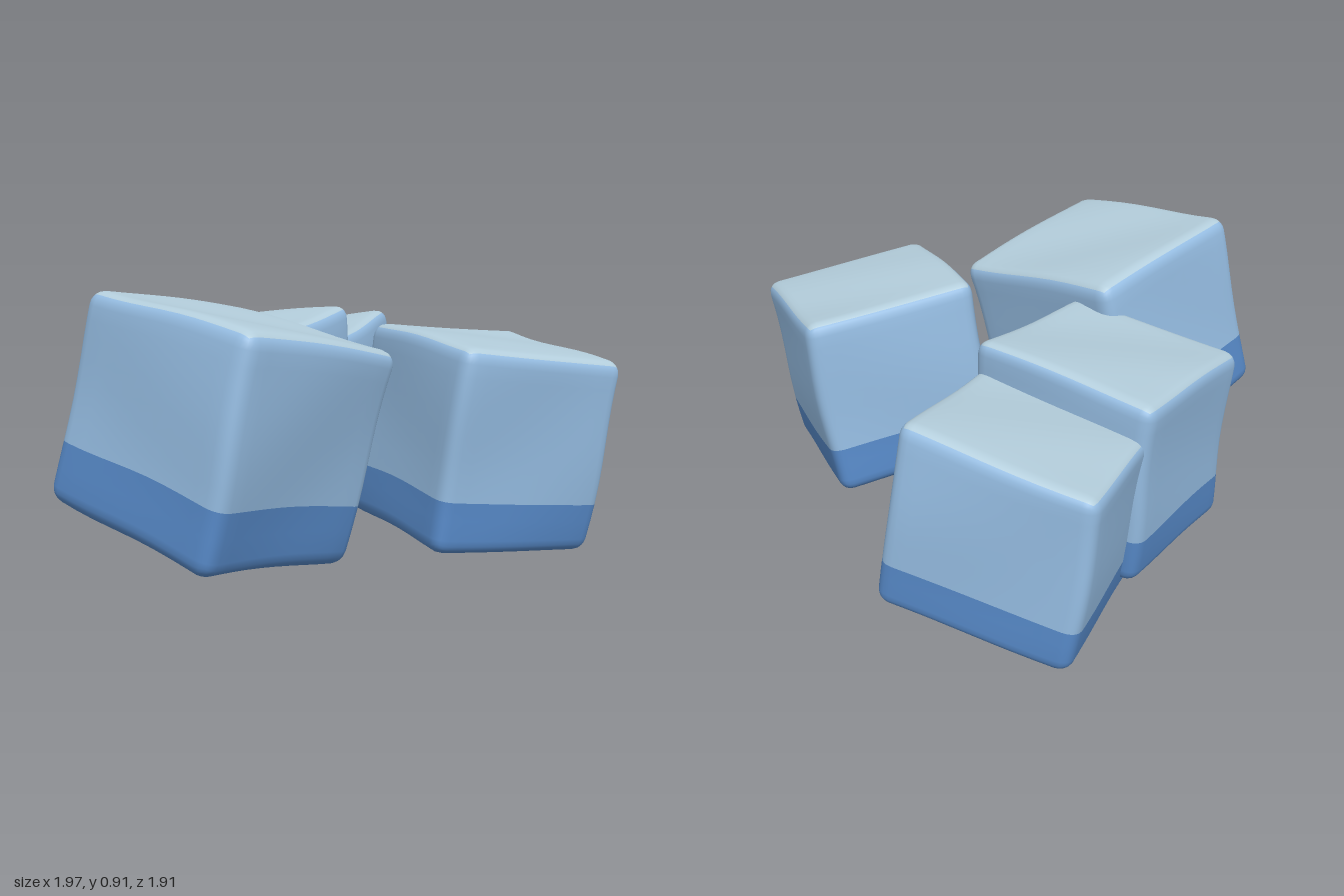
import * as THREE from 'three';
import { mergeVertices } from 'three/addons/utils/BufferGeometryUtils.js';

const mat = (name, color) => {
  const m = new THREE.MeshStandardMaterial({ color });
  m.name = name;
  return m;
};

const RADIUS = 0.075; // edge rounding as a fraction of the cube's side

// Grid lines from 0 to 1: dense at the rounded rims, one exactly at the colour band
const knots = (band) => [0, 0.02, 0.044, RADIUS, 0.17, band, 0.38, 0.48, 0.58, 0.68,
  0.78, 0.86, 1 - RADIUS, 0.956, 0.98, 1];

// Soft cube stretched between eight corners:
// top then bottom, each as back left-of-picture, back right, front right, front left
function softCube(corners, band, seed) {
  const [x0, ys] = [knots(0.28), knots(band)];
  const n = x0.length - 1;
  let geo = new THREE.BoxGeometry(1, 1, 1, n, n, n);
  geo.deleteAttribute('normal');
  geo.deleteAttribute('uv');
  geo = mergeVertices(geo, 1e-4);
  const pos = geo.attributes.position;
  const row = (v) => Math.round((v + 0.5) * n);

  // Sort triangles into top, side and base colours
  const bandRow = ys.indexOf(band);
  const sets = [[], [], []];
  const idx = geo.index.array;
  for (let i = 0; i < idx.length; i += 3) {
    const tri = [idx[i], idx[i + 1], idx[i + 2]];
    const rows = tri.map((k) => row(pos.getY(k)));
    const s = Math.min(...rows) === n ? 0 : Math.max(...rows) <= bandRow ? 2 : 1;
    sets[s].push(...tri);
  }
  geo.setIndex(sets.flat());
  geo.clearGroups();
  let start = 0;
  sets.forEach((s, m) => {
    geo.addGroup(start, s.length, m);
    start += s.length;
  });

  // Corners, pushed out a little to make up for the rounding
  const pts = corners.map((c) => new THREE.Vector3(...c));
  const mid = pts.reduce((a, p) => a.add(p), new THREE.Vector3()).divideScalar(8);
  pts.forEach((p) => p.sub(mid).multiplyScalar(1.02).add(mid));
  const [tbl, tbr, tfr, tfl, bbl, bbr, bfr, bfl] = pts;
  const mix = (a, b, t) => a.clone().lerp(b, t);

  const p = new THREE.Vector3(), inner = new THREE.Vector3();
  for (let i = 0; i < pos.count; i++) {
    p.set(x0[row(pos.getX(i))], ys[row(pos.getY(i))], x0[row(pos.getZ(i))]);
    inner.copy(p).clampScalar(RADIUS, 1 - RADIUS);
    p.sub(inner).normalize().multiplyScalar(RADIUS).add(inner);
    const top = mix(mix(tbl, tbr, p.x), mix(tfl, tfr, p.x), p.z);
    const bottom = mix(mix(bbl, bbr, p.x), mix(bfl, bfr, p.x), p.z);
    const q = mix(bottom, top, p.y);
    // gentle hand-shaped waviness
    q.x += 0.006 * Math.sin(9 * q.y + 5 * q.z + seed);
    q.y += 0.006 * Math.sin(9 * q.x + 6 * q.z + seed * 2);
    q.z += 0.006 * Math.sin(9 * q.y + 5 * q.x + seed * 3);
    pos.setXYZ(i, q.x, q.y, q.z);
  }
  geo.computeVertexNormals();
  return geo;
}

const cubes = [
  { name: 'frontCube', band: 0.285, corners: [
    [-0.19, 0.82, 0.16], [0.55, 0.70, 0.09], [0.62, 0.82, 0.79], [-0.12, 0.92, 0.84],
    [-0.29, 0.10, 0.30], [0.43, 0.00, 0.22], [0.54, 0.10, 0.91], [-0.22, 0.24, 0.96]] },
  { name: 'leftCube', band: 0.26, corners: [
    [0.40, 0.72, -0.71], [1.00, 0.65, -0.54], [0.81, 0.74, 0.06], [0.24, 0.78, -0.10],
    [0.32, 0.06, -0.66], [0.91, 0.00, -0.48], [0.75, 0.08, 0.13], [0.16, 0.12, -0.05]] },
  { name: 'rightCube', band: 0.255, corners: [
    [-0.82, 0.74, -0.22], [-0.20, 0.80, -0.41], [0.00, 0.72, 0.20], [-0.59, 0.65, 0.42],
    [-0.78, 0.09, -0.25], [-0.13, 0.13, -0.42], [0.04, 0.05, 0.17], [-0.57, 0.01, 0.38]] },
  { name: 'backCube', band: 0.25, corners: [
    [-1.00, 0.66, -0.60], [-0.42, 0.75, -0.87], [-0.15, 0.68, -0.33], [-0.71, 0.59, -0.06],
    [-0.96, 0.07, -0.67], [-0.38, 0.13, -0.97], [-0.10, 0.06, -0.43], [-0.65, 0.00, -0.15]] },
];

export function createModel() {
  const group = new THREE.Group();
  group.name = 'cubePile';
  const materials = [
    mat('paleTop', 0xb3cddb),
    mat('lightBlueSide', 0x94bbe0),
    mat('deepBlueBase', 0x5688c6),
  ];
  cubes.forEach(({ name, band, corners }, i) => {
    const mesh = new THREE.Mesh(softCube(corners, band, i * 1.7), materials);
    mesh.name = name;
    group.add(mesh);
  });

  // Stand the pile on the ground, centred
  const box = new THREE.Box3().setFromObject(group, true);
  const c = box.getCenter(new THREE.Vector3());
  group.children.forEach((m) => m.position.set(-c.x, -box.min.y, -c.z));
  return group;
}
